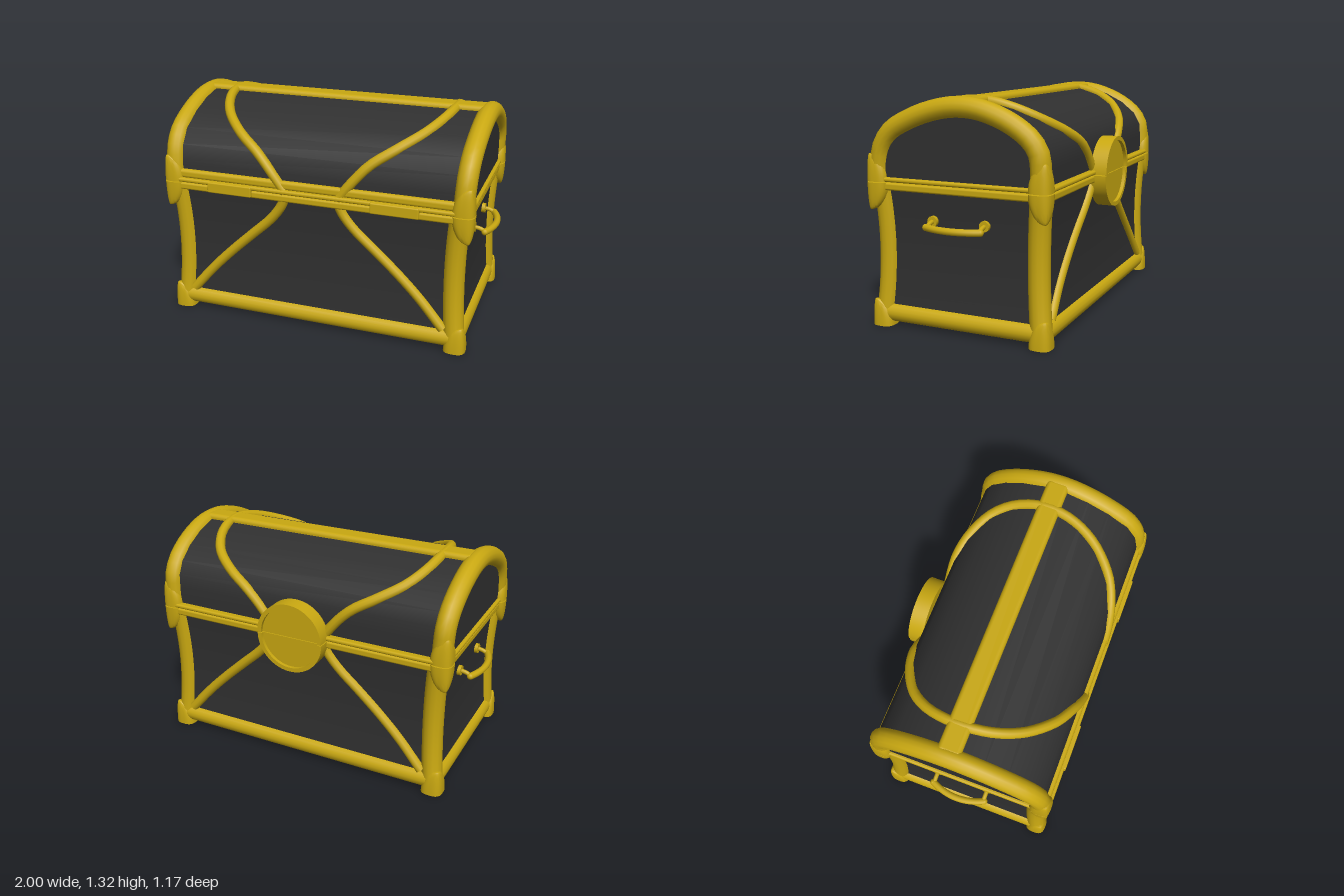
import * as THREE from 'three';
import { toCreasedNormals } from 'three/addons/utils/BufferGeometryUtils.js';
import { RoundedBoxGeometry } from 'three/addons/geometries/RoundedBoxGeometry.js';

const gold = new THREE.MeshStandardMaterial({ color: 0xc9a811 });
const dark = new THREE.MeshStandardMaterial({ color: 0x303030 });
const V = (x, y, z) => new THREE.Vector3(x, y, z);
const ZC = 0.024; // middle of the chest in depth

// Body walls curve slightly inward at mid height
const waist = y => 0.026 * (1 - ((y - 0.45) / 0.42) ** 2);
const halfX = y => 0.885 - waist(y);
const halfZ = y => 0.518 - waist(y);

// Lid arch centre line as [z, y], front to back
const arch = [[0.515, 0.84], [0.508, 0.95], [0.485, 1.04], [0.425, 1.12], [0.3, 1.19], [0.17, 1.237],
  [0.04, 1.262], [-0.09, 1.258], [-0.22, 1.222], [-0.33, 1.168], [-0.415, 1.1], [-0.455, 1.03],
  [-0.463, 0.95], [-0.465, 0.84]];
const lidSkin = arch.map(([z, y]) => [ZC + (z - ZC) * 1.045, 0.84 + (y - 0.84) * 1.06]);

export function createModel() {
  const root = new THREE.Group();
  const add = (name, geo, mat = gold, x = 0, y = 0, z = 0) => {
    const m = new THREE.Mesh(geo, mat);
    m.name = name;
    m.position.set(x, y, z);
    root.add(m);
    return m;
  };
  const tube = (name, pts, r, seg = 32, sides = 14) =>
    add(name, new THREE.TubeGeometry(new THREE.CatmullRomCurve3(pts), seg, r, sides));
  const bar = (name, w, h, d, x, y, z, r = 0.012) =>
    add(name, new RoundedBoxGeometry(w, h, d, 3, r), gold, x, y, z);

  // Body panels
  const body = new THREE.BoxGeometry(2, 0.8, 2, 1, 10, 1);
  const p = body.attributes.position;
  for (let i = 0; i < p.count; i++) {
    const y = p.getY(i) + 0.43;
    p.setXYZ(i, p.getX(i) * halfX(y), y, ZC + p.getZ(i) * halfZ(y));
  }
  body.computeVertexNormals();
  add('body', body, dark);

  // Lid panels
  const lidShape = new THREE.Shape(lidSkin.map(([z, y]) => new THREE.Vector2(-z, y)));
  const lid = new THREE.ExtrudeGeometry(lidShape, { depth: 1.8, bevelEnabled: false });
  lid.translate(0, 0, -0.9).rotateY(Math.PI / 2);
  add('lid', toCreasedNormals(lid, 0.6), dark);

  // Corner cap: a rounded-square bullet with a flat base, leaning to the outer corner
  const cap = (name, sx, sz, x, y, z, h, up) => {
    const g = new THREE.SphereGeometry(1, 32, 20);
    if (up < 0) g.rotateX(Math.PI);
    const q = g.attributes.position;
    for (let i = 0; i < q.count; i++) {
      const a = q.getX(i), c = q.getZ(i), r = Math.hypot(a, c);
      const t = Math.max(0, q.getY(i) * up);
      const ca = r ? a / r : 0, sa = r ? c / r : 0;
      const f = r ? 1 / Math.cbrt(Math.abs(ca) ** 3 + Math.abs(sa) ** 3) : 0;
      const w = 0.064 * r * f, lean = 0.04 * (1 - r) * (t > 0 ? 1 : 0);
      q.setXYZ(i, ca * w + sx * lean, up * t * h, sa * w + sz * lean);
    }
    add(name, toCreasedNormals(g, 0.8), gold, sx * x, y, z);
  };

  for (const s of [1, -1]) {
    for (const f of [1, -1]) {
      // Corner posts
      const post = [];
      for (let i = 0; i <= 8; i++) {
        const y = 0.03 + i * 0.1;
        post.push(V(s * (halfX(y) - 0.027), y, ZC + f * (halfZ(y) - 0.031)));
      }
      tube('cornerPost', post, 0.061);

      // Corner caps at the foot and on both sides of the lid seam
      const mid = f > 0 ? 0.515 : -0.465;
      cap('footCap', s, f, 0.862, 0, ZC + f * 0.487, 0.155, 1);
      cap('bodyTopCap', s, f, 0.874, 0.832, mid, 0.155, -1);
      cap('lidCap', s, f, 0.874, 0.838, mid, 0.155, 1);

      // Curved straps across the body
      tube('bodyStrap', [[0.16, 0.82], [0.19, 0.75], [0.26, 0.66], [0.39, 0.54], [0.52, 0.42], [0.65, 0.29], [0.79, 0.13]]
        .map(([x, y]) => V(s * x, y, ZC + f * halfZ(y))), 0.03, 30, 10);
    }

    // Arched lid edge
    tube('lidArch', arch.map(([z, y]) => V(s * (0.87 + (y - 0.84) * 0.04), y, z)), 0.058, 30);

    // Curved strap over the lid, from the front seam to the back seam
    const sx = [0.16, 0.25, 0.34, 0.47, 0.6, 0.67, 0.7];
    tube('lidStrap', lidSkin.map(([z, y], i) => V(s * sx[Math.min(i, 13 - i)], y, z)), 0.03, 40, 10);

    // End rails: foot and seam
    const foot = add('endFootRail', new THREE.CylinderGeometry(0.055, 0.055, 0.98, 16), gold, s * 0.855, 0.075, ZC);
    foot.rotation.x = Math.PI / 2;
    bar('endBodyRim', 0.08, 0.043, 1.0, s * 0.873, 0.811, ZC);
    bar('endLidRim', 0.08, 0.026, 1.0, s * 0.88, 0.85, ZC);

    // Hinge
    bar('hinge', 0.28, 0.065, 0.04, s * 0.5, 0.828, 0.562, 0.008);

    // Carrying handle: bowed grip, posts and round mounts
    const hy = 0.61, hz = [0.18, -0.138];
    const grip = [];
    for (let i = 0; i <= 8; i++) {
      const u = i / 4 - 1;
      grip.push(V(s * (0.98 - 0.04 * u * u), hy, 0.021 + 0.165 * u));
    }
    tube('handleGrip', grip, 0.02, 20, 10);
    for (const e of [0, 1]) {
      const end = grip[e ? 0 : 8];
      add('handleGripEnd', new THREE.SphereGeometry(0.02, 12, 8), gold, end.x, end.y, end.z);
      const mount = add('handleMount', new THREE.CylinderGeometry(0.03, 0.03, 0.03, 18), gold, s * 0.87, 0.632, hz[e]);
      mount.rotation.z = Math.PI / 2;
      tube('handlePost', [V(s * 0.86, 0.632, hz[e]), V(s * 0.91, 0.626, hz[e]), V(s * 0.942, hy, hz[e])], 0.013, 8, 8);
    }
  }

  // Long rails on the front and back
  for (const f of [1, -1]) {
    const foot = add('longFootRail', new THREE.CylinderGeometry(0.055, 0.055, 1.7, 16), gold, 0, 0.075, ZC + f * 0.487);
    foot.rotation.z = Math.PI / 2;
    bar('longBodyRim', 1.76, 0.043, 0.08, 0, 0.811, ZC + f * 0.503);
    bar('longLidRim', 1.78, 0.026, 0.08, 0, 0.85, ZC + f * 0.51);
  }
  bar('frontLidBand', 1.74, 0.055, 0.06, 0, 0.884, 0.527, 0.02);

  // Ridge along the top of the lid
  bar('lidRidge', 1.76, 0.07, 0.135, 0, 1.28, -0.023, 0.025);

  // Round clasp on the back, split at the seam, with a raised rim
  for (const up of [1, -1]) {
    const a0 = up > 0 ? 0 : Math.PI;
    const half = r => new THREE.Shape().absarc(0, 0, r, a0, a0 + Math.PI, false);
    const rim = new THREE.Shape();
    rim.absarc(0, 0, 0.207, a0, a0 + Math.PI, false);
    rim.absarc(0, 0, 0.182, a0 + Math.PI, a0, true);
    rim.closePath();
    for (const [name, shape, depth] of [['claspPlate', half(0.2), 0.075], ['claspRim', rim, 0.095]]) {
      const g = new THREE.ExtrudeGeometry(shape, { depth, bevelEnabled: false, curveSegments: 28 });
      g.rotateY(Math.PI);
      add(name, toCreasedNormals(g, 0.6), gold, 0.004, 0.835 + up * 0.003, up > 0 ? -0.495 : -0.491);
    }
  }
  return root;
}
